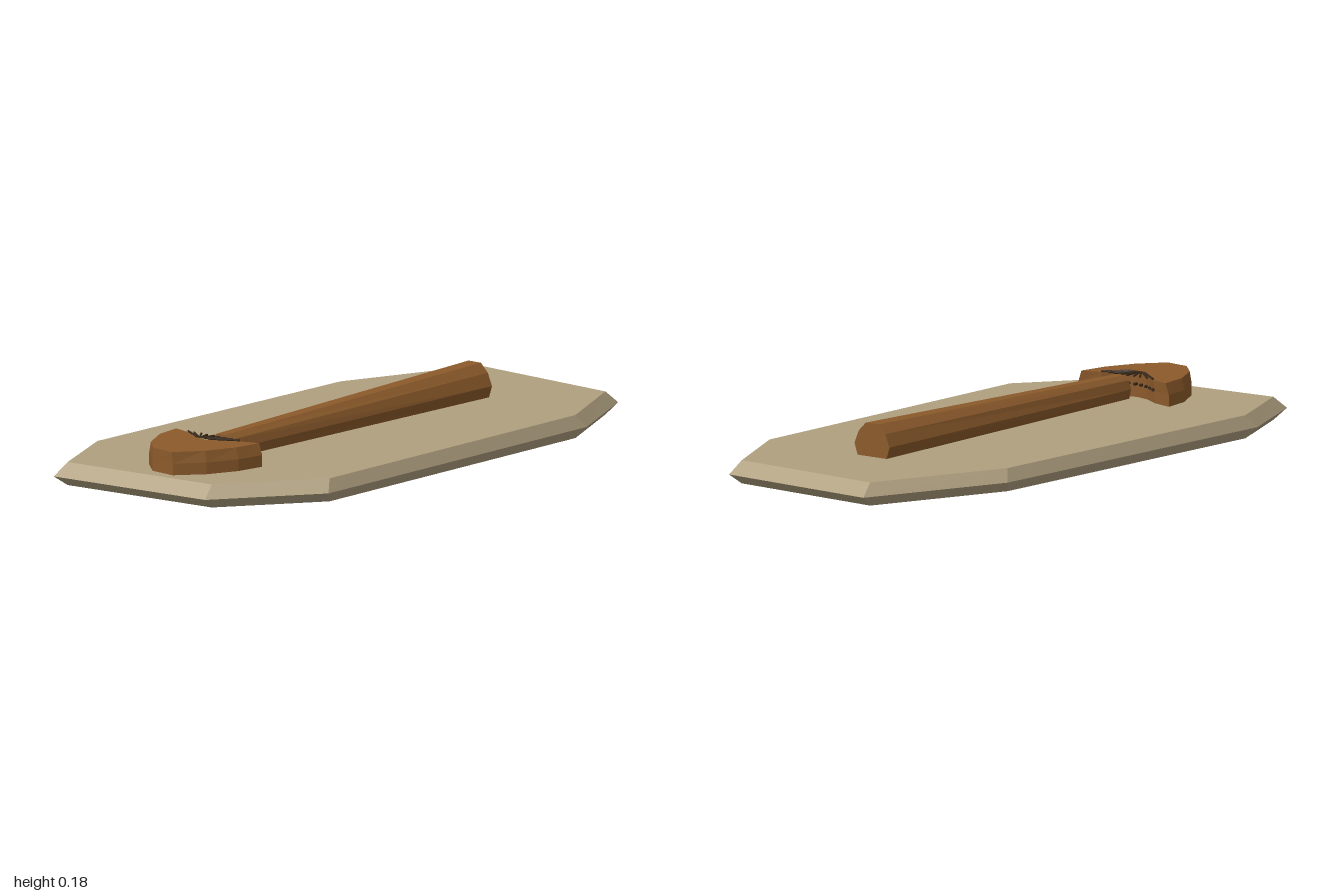
import * as THREE from 'three';

const material = (color) => new THREE.MeshStandardMaterial({ color, flatShading: true, side: THREE.DoubleSide });

// Skin rings of Vector3 (counter-clockwise seen from the last ring) and cap both ends
function loft(rings, to2D) {
  const pos = [];
  const tri = (...pts) => pts.forEach((p) => pos.push(p.x, p.y, p.z));
  const n = rings[0].length;
  for (let r = 0; r < rings.length - 1; r++) {
    for (let i = 0; i < n; i++) {
      const j = (i + 1) % n, a = rings[r], b = rings[r + 1];
      tri(a[i], a[j], b[j]);
      tri(a[i], b[j], b[i]);
    }
  }
  const first = rings[0], last = rings[rings.length - 1];
  const axis = last[0].clone().sub(first[0]);
  for (const [ring, sign] of [[first, -1], [last, 1]]) {
    for (const [a, b, c] of THREE.ShapeUtils.triangulateShape(ring.map(to2D), [])) {
      const normal = ring[b].clone().sub(ring[a]).cross(ring[c].clone().sub(ring[a]));
      if (normal.dot(axis) * sign > 0) tri(ring[a], ring[b], ring[c]);
      else tri(ring[a], ring[c], ring[b]);
    }
  }
  const g = new THREE.BufferGeometry();
  g.setAttribute('position', new THREE.Float32BufferAttribute(pos, 3));
  g.computeVertexNormals();
  return g;
}

// Horizontal ring from [x, z] points, scaled about the origin
const level = (pts, y, sx = 1, sz = 1) => pts.map(([x, z]) => new THREE.Vector3(x * sx, y, z * sz));
const flatXZ = (p) => new THREE.Vector2(p.x, -p.z);
const flatXY = (p) => new THREE.Vector2(p.x, p.y);

export function createModel() {
  const group = new THREE.Group();
  const stone = material(0xb0a080), wood = material(0x8b5a2b), cord = material(0x3a2a1a);
  const add = (name, geometry, mat, parent = group) => {
    const mesh = new THREE.Mesh(geometry, mat);
    mesh.name = name;
    parent.add(mesh);
    return mesh;
  };

  // Irregular eight-sided slab with a bevelled rim
  const outline = [[-0.465, -0.52], [-0.475, 0.69], [-0.34, 1], [0.24, 0.96],
    [0.47, 0.64], [0.45, -0.62], [0.29, -0.96], [-0.28, -1]];
  add('slab', loft([level(outline, 0, 0.955, 0.952), level(outline, 0.033),
    level(outline, 0.073, 0.955, 0.952)], flatXZ), stone);

  // Tapered shaft: half profile mirrored, back end thick, front end thin
  const section = (z, cx, half) => {
    const right = half.map(([x, y]) => new THREE.Vector3(cx + x, y, z));
    const left = half.map(([x, y]) => new THREE.Vector3(cx - x, y, z)).reverse();
    return [...right, ...left];
  };
  add('shaft', loft([
    section(-0.615, 0, [[0.058, 0.073], [0.07, 0.11], [0.053, 0.15], [0.025, 0.178]]),
    section(0.615, 0.012, [[0.036, 0.08], [0.043, 0.11], [0.034, 0.138], [0.017, 0.152]]),
  ], flatXY), wood);

  // Crescent head with a hollowed back edge
  const crescent = [[-0.182, 0.615], [-0.167, 0.71], [-0.11, 0.815], [-0.04, 0.88], [0.05, 0.89],
    [0.12, 0.81], [0.165, 0.71], [0.18, 0.615], [0.11, 0.635], [0.05, 0.67], [0, 0.682], [-0.05, 0.67], [-0.11, 0.635]];
  add('head', loft([level(crescent, 0.073), level(crescent, 0.11),
    level(crescent, 0.146, 0.93, 1)], flatXZ), wood);

  // Cords fanning out over the head, with pegs along its hollow edge
  const lashing = new THREE.Group();
  lashing.name = 'lashing';
  group.add(lashing);
  const up = new THREE.Vector3(0, 1, 0);
  const rod = (name, a, b, radius) => {
    const d = b.clone().sub(a);
    const m = add(name, new THREE.CylinderGeometry(radius, radius, d.length(), 6), cord, lashing);
    m.position.copy(a).add(b).multiplyScalar(0.5);
    m.quaternion.setFromUnitVectors(up, d.normalize());
  };
  for (let i = -4; i <= 4; i++) {
    const x = i * 0.026, edge = 0.68 - 3.6 * x * x;
    rod('cord', new THREE.Vector3(x * 0.25, 0.152, 0.686),
      new THREE.Vector3(x, 0.149, 0.633 + 0.003 * Math.abs(i % 2)), 0.0035);
    rod('peg', new THREE.Vector3(x, 0.115, edge + 0.01), new THREE.Vector3(x, 0.115, edge - 0.012), 0.005);
  }
  return group;
}
